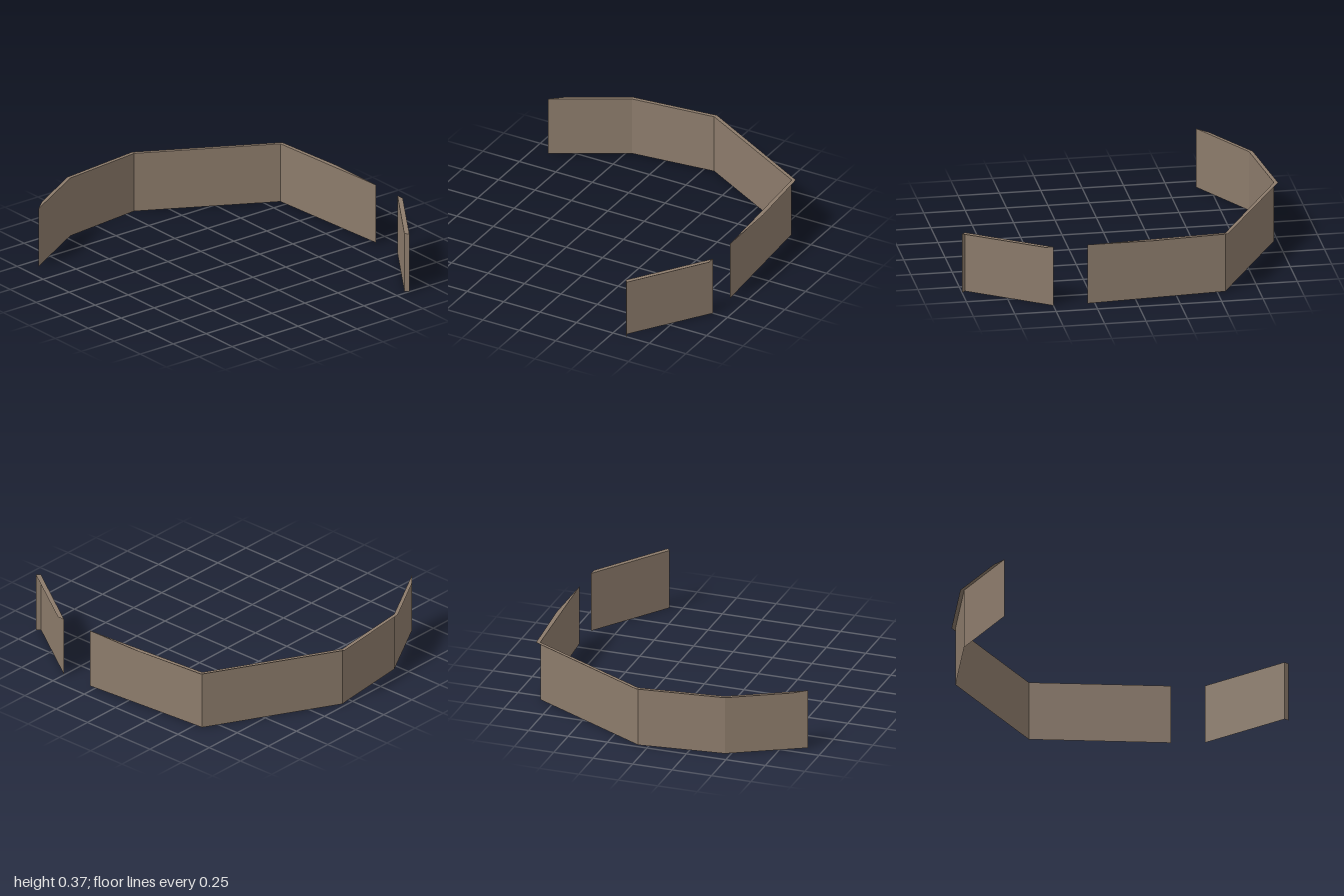
import * as THREE from 'three';

const HEIGHT = 0.374;

const stone = new THREE.MeshStandardMaterial({ color: 0x8c7b6b, side: THREE.DoubleSide });
stone.name = 'warm grey brown';

// Upright faces along a ground path of [x, z] points
function wallFaces(path, name) {
  const position = [];
  for (let i = 0; i < path.length - 1; i++) {
    const [ax, az] = path[i];
    const [bx, bz] = path[i + 1];
    position.push(
      ax, 0, az, bx, 0, bz, bx, HEIGHT, bz,
      ax, 0, az, bx, HEIGHT, bz, ax, HEIGHT, az
    );
  }
  const geometry = new THREE.BufferGeometry();
  geometry.setAttribute('position', new THREE.Float32BufferAttribute(position, 3));
  geometry.computeVertexNormals();
  const mesh = new THREE.Mesh(geometry, stone);
  mesh.name = name;
  return mesh;
}

// Flat coping with the given [x, z] outline, at the wall's upper edge
function coping(outline, name) {
  const shape = new THREE.Shape(outline.map(([x, z]) => new THREE.Vector2(x, -z)));
  const geometry = new THREE.ShapeGeometry(shape);
  geometry.rotateX(-Math.PI / 2).translate(0, HEIGHT, 0);
  const mesh = new THREE.Mesh(geometry, stone);
  mesh.name = name;
  return mesh;
}

export function createModel() {
  const model = new THREE.Group();
  model.name = 'curvedWall';

  // Long bent wall: inner face, and a coping that overhangs outwards
  const inner = [[-0.9, -0.67], [-0.465, -0.917], [0.065, -0.976], [0.84, -0.55], [0.9, 0.295]];
  const outer = [[0.9, -0.1], [0.862, -0.562], [0.07, -1], [-0.47, -0.94], [-0.825, -0.737]];
  const longWall = new THREE.Group();
  longWall.name = 'longWall';
  longWall.add(wallFaces(inner, 'longWallFace'), coping([...inner, ...outer], 'longWallCoping'));

  // Short wall beyond the gap, with a closed front end
  const face = [[0.9, 0.5], [0.575, 0.977]];
  const end = [0.595, 1];
  const shortWall = new THREE.Group();
  shortWall.name = 'shortWall';
  shortWall.add(
    wallFaces(face, 'shortWallFace'),
    wallFaces([face[1], end], 'shortWallEnd'),
    coping([...face, end, [0.9, 0.55]], 'shortWallCoping')
  );

  model.add(longWall, shortWall);
  return model;
}
